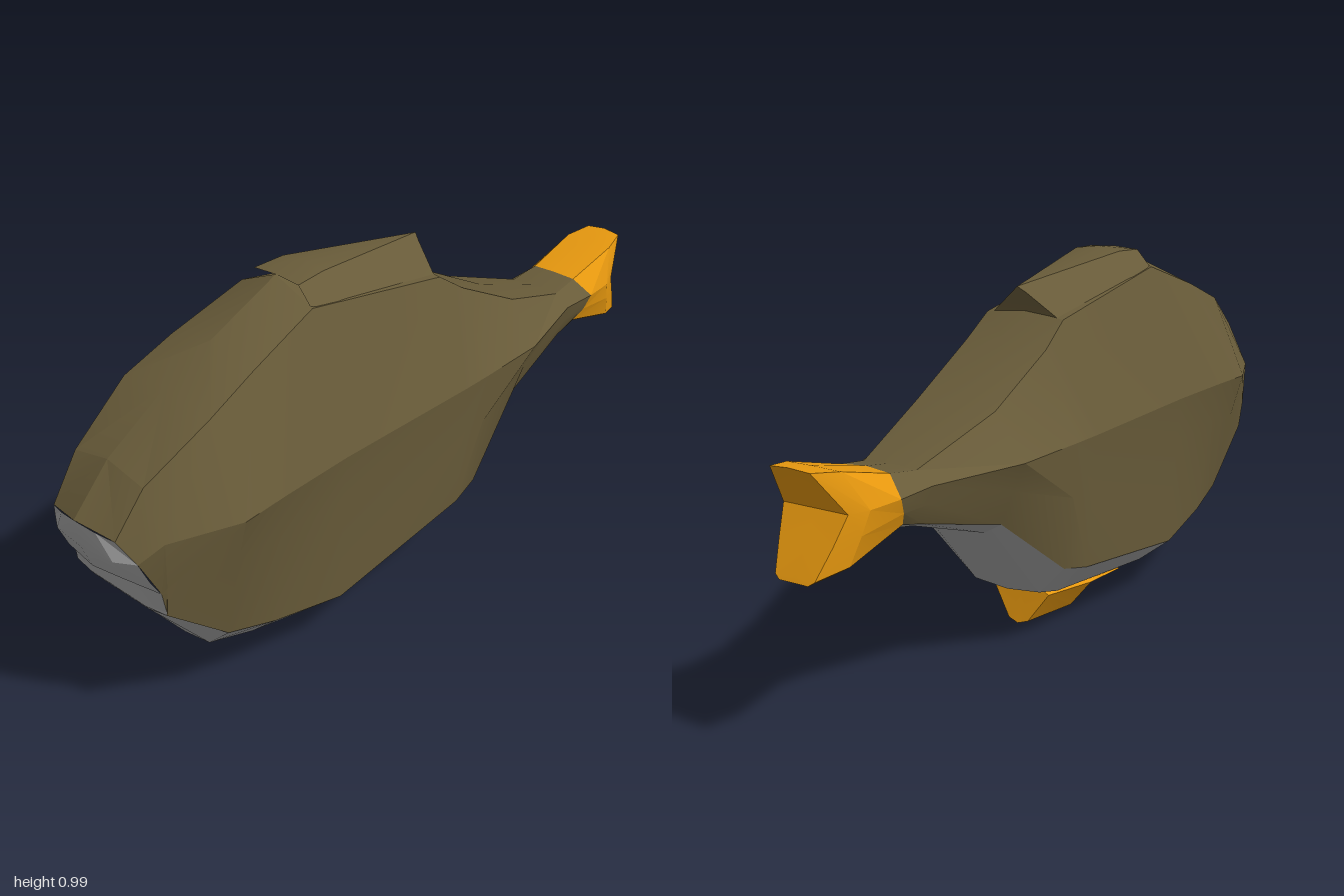
import * as THREE from 'three';
import { toCreasedNormals } from 'three/addons/utils/BufferGeometryUtils.js';

// Skins half cross-sections (points on the +x side, same count each) and mirrors them across x = 0.
function loft(rings, from = 0, to = rings[0].length - 1) {
  const pos = [];
  const tri = (...pts) => {
    const [a, b, c] = pts.map((p) => new THREE.Vector3(...p));
    if (b.clone().sub(a).cross(c.clone().sub(a)).length() < 1e-7) return;
    for (const p of [a, b, c]) pos.push(p.x, p.y, p.z);
    for (const p of [a, c, b]) pos.push(-p.x, p.y, p.z);
  };
  for (let k = 0; k < rings.length - 1; k++) {
    for (let i = from; i < to; i++) {
      const a = rings[k][i], b = rings[k][i + 1];
      const d = rings[k + 1][i], c = rings[k + 1][i + 1];
      tri(a, d, c);
      tri(a, c, b);
    }
  }
  const g = new THREE.BufferGeometry();
  g.setAttribute('position', new THREE.Float32BufferAttribute(pos, 3));
  return toCreasedNormals(g, 0.35);
}

// Cross-section at one z: bottom, belly, colour edge, flank, widest line, shoulder, top.
const station = (z, bottom, belly, edge, flank, wide, shoulder, top) =>
  [[0, bottom], belly, edge, flank, wide, shoulder, [0, top]].map(([x, y]) => [x, y, z]);

// Closes the end of a loft on the centre plane.
const closed = (ring) => ring.map(([, y, z]) => [0, y, z]);

export function createModel() {
  const group = new THREE.Group();
  const material = (name, color) => {
    const m = new THREE.MeshStandardMaterial({ color });
    m.name = name;
    return m;
  };
  const olive = material('olive skin', 0x685b39);
  const grey = material('grey belly', 0xa2a2a2);
  const orange = material('orange fin', 0xe8990f);
  const pale = material('pale eye', 0xb4b4b4);
  const add = (name, geometry, mat) => {
    const mesh = new THREE.Mesh(geometry, mat);
    mesh.name = name;
    group.add(mesh);
    return mesh;
  };

  // Body sections from the mouth opening back to the tail root
  const mouthRing = [
    [0, 0.37, 0.905], [0.1, 0.37, 0.905], [0.165, 0.38, 0.895], [0.165, 0.435, 0.905],
    [0.15, 0.53, 0.95], [0.11, 0.585, 0.975], [0, 0.605, 1],
  ];
  const tailRoot = [
    [0, 0.485, -0.73], [0.06, 0.485, -0.73], [0.09, 0.5, -0.735], [0.11, 0.535, -0.755],
    [0.12, 0.575, -0.775], [0.07, 0.62, -0.75], [0, 0.625, -0.745],
  ];
  const body = [
    mouthRing,
    station(0.895, 0.355, [0.1, 0.355], [0.165, 0.37], [0.175, 0.45], [0.18, 0.57], [0.12, 0.69], 0.715),
    station(0.72, 0.135, [0.09, 0.15], [0.165, 0.22], [0.215, 0.45], [0.25, 0.575], [0.15, 0.8], 0.825),
    station(0.58, 0.09, [0.09, 0.105], [0.18, 0.185], [0.215, 0.45], [0.238, 0.575], [0.14, 0.86], 0.89),
    station(0.37, 0.065, [0.1, 0.075], [0.195, 0.15], [0.21, 0.45], [0.225, 0.575], [0.12, 0.935], 0.985),
    station(-0.09, 0.12, [0.1, 0.13], [0.19, 0.215], [0.205, 0.42], [0.217, 0.575], [0.115, 0.86], 0.875),
    station(-0.18, 0.145, [0.1, 0.155], [0.175, 0.235], [0.2, 0.43], [0.213, 0.575], [0.12, 0.8], 0.812),
    station(-0.4, 0.375, [0.08, 0.38], [0.13, 0.41], [0.165, 0.5], [0.2, 0.575], [0.115, 0.69], 0.7),
    station(-0.66, 0.465, [0.06, 0.47], [0.09, 0.48], [0.11, 0.53], [0.12, 0.575], [0.075, 0.605], 0.61),
    tailRoot,
  ];
  add('belly', loft(body, 0, 2), grey);
  const back = add('back and sides', loft(body, 2, 6), olive);

  // Lips, mouth crease and chin, in rows from brow to chin
  add('face', loft([
    [[0, 0.605, 1], [0.06, 0.595, 0.99], [0.11, 0.585, 0.975]],
    [[0, 0.53, 0.99], [0.1, 0.53, 0.98], [0.15, 0.53, 0.95]],
    [[0, 0.465, 0.965], [0.1, 0.472, 0.955], [0.16, 0.475, 0.928]],
    [[0, 0.43, 0.912], [0.1, 0.43, 0.912], [0.165, 0.435, 0.905]],
    [[0, 0.37, 0.905], [0.1, 0.37, 0.905], [0.165, 0.38, 0.895]],
  ]), grey);

  // Dorsal fin: a wedge narrowing to a point behind
  const finEnd = [[0.105, 0.855, -0.085], [0.02, 0.925, -0.115], [0, 0.94, -0.125]];
  add('dorsalFin', loft([
    [[0.12, 0.93, 0.37], [0.075, 0.98, 0.37], [0, 0.985, 0.37]],
    [[0.12, 0.915, 0.28], [0.068, 0.985, 0.28], [0, 0.995, 0.28]],
    finEnd,
    closed(finEnd),
  ]), olive);

  // Keel-shaped lower fin
  const keelEnd = [[0, 0.03, -0.13], [0.03, 0.04, -0.127], [0.085, 0.12, -0.11], [0, 0.16, -0.1]];
  add('lowerFin', loft([
    [[0, 0.078, 0.25], [0.04, 0.08, 0.25], [0.1, 0.085, 0.25], [0, 0.1, 0.25]],
    [[0, 0.003, 0.08], [0.04, 0.02, 0.08], [0.105, 0.1, 0.08], [0, 0.14, 0.08]],
    keelEnd,
    closed(keelEnd),
  ]), orange);

  // Thick forked tail
  const tailEnd = [
    [0, 0.43, -1], [0.04, 0.43, -1], [0.055, 0.44, -0.995], [0.075, 0.51, -0.955],
    [0.09, 0.575, -0.92], [0.055, 0.68, -0.995], [0, 0.685, -1],
  ];
  add('tailFin', loft([
    tailRoot,
    [
      [0, 0.44, -0.92], [0.06, 0.44, -0.92], [0.085, 0.455, -0.915], [0.1, 0.52, -0.89],
      [0.11, 0.575, -0.87], [0.075, 0.668, -0.92], [0, 0.673, -0.93],
    ],
    tailEnd,
    closed(tailEnd),
  ]), orange);

  // Eyes: thin discs laid on the head surface
  const caster = new THREE.Raycaster();
  const onSkin = (y, z) => {
    caster.set(new THREE.Vector3(1, y, z), new THREE.Vector3(-1, 0, 0));
    const hit = caster.intersectObject(back)[0];
    return [(hit ? hit.point.x : 0.2) + 0.006, y, z];
  };
  const rim = [];
  for (let i = 0; i <= 10; i++) {
    const a = (i / 10) * Math.PI * 2;
    rim.push(onSkin(0.588 + 0.035 * Math.sin(a), 0.822 - 0.035 * Math.cos(a)));
  }
  const centre = rim.map(() => onSkin(0.588, 0.822));
  add('eyes', loft([centre, rim].reverse()), pale);

  return group;
}
